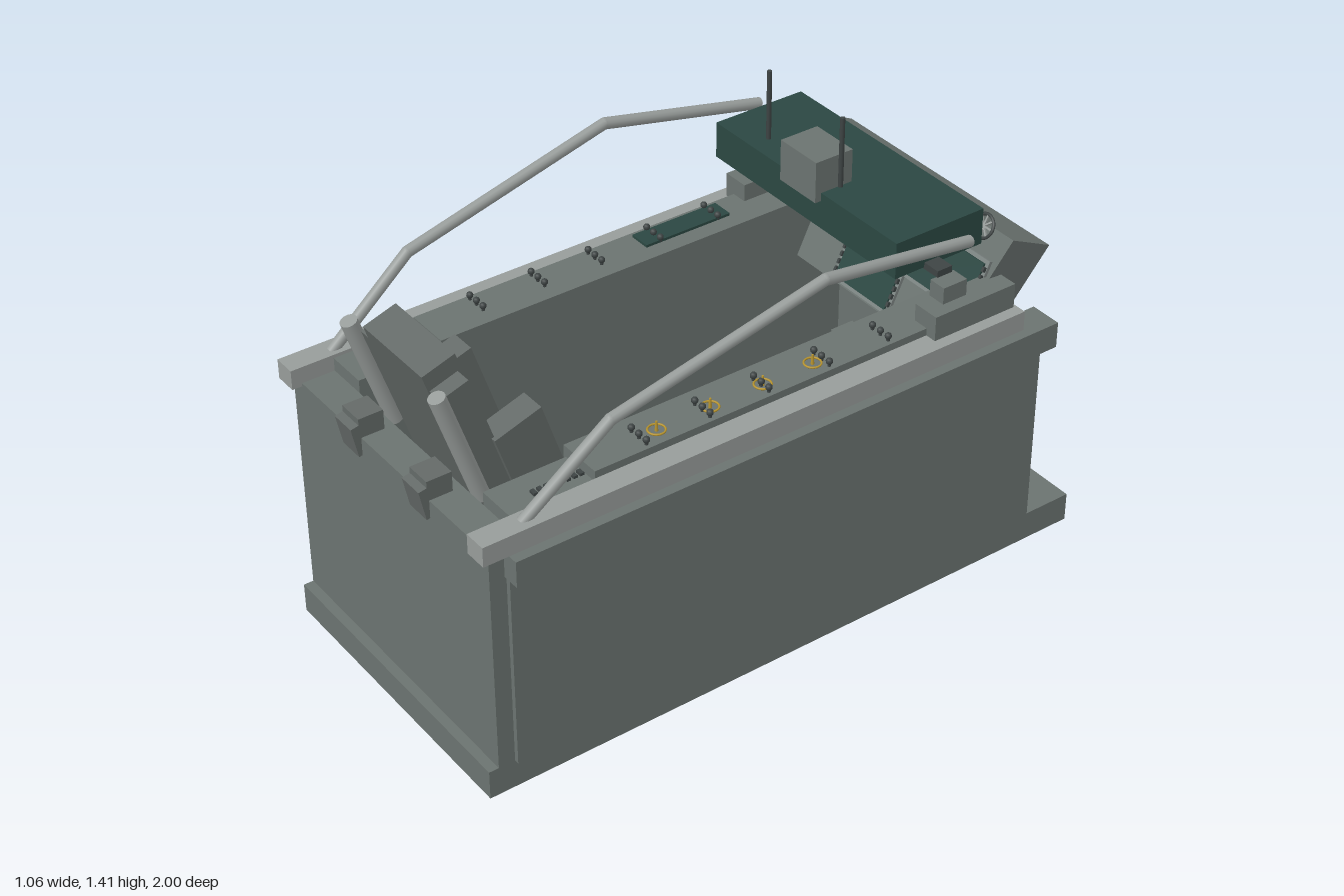
import * as THREE from 'three';

const mat = (name, color) => {
  const m = new THREE.MeshStandardMaterial({ color });
  m.name = name;
  return m;
};

export function createModel() {
  const hull = mat('hull grey', 0x6b7370);
  const rail = mat('light grey', 0x979c9a);
  const seatGrey = mat('seat grey', 0x646a68);
  const face = mat('panel grey', 0x7c8482);
  const green = mat('dark green', 0x2b4742);
  const dark = mat('charcoal', 0x3e4444);
  const yellow = mat('yellow', 0xb8952f);

  const root = new THREE.Group();
  root.name = 'cockpitTub';

  const add = (parent, name, geo, material, x = 0, y = 0, z = 0) => {
    const m = new THREE.Mesh(geo, material);
    m.name = name;
    m.position.set(x, y, z);
    parent.add(m);
    return m;
  };
  // box given by its limits on each axis
  const box = (parent, name, material, x0, x1, y0, y1, z0, z1) =>
    add(parent, name, new THREE.BoxGeometry(Math.abs(x1 - x0), y1 - y0, z1 - z0), material,
      (x0 + x1) / 2, (y0 + y1) / 2, (z0 + z1) / 2);
  // round bar between two points
  const bar = (parent, name, material, a, b, r, sides = 12) => {
    const p = new THREE.Vector3(...a), q = new THREE.Vector3(...b);
    const d = q.clone().sub(p);
    const m = add(parent, name, new THREE.CylinderGeometry(r, r, d.length(), sides), material);
    m.position.copy(p).add(q).multiplyScalar(0.5);
    m.quaternion.setFromUnitVectors(new THREE.Vector3(0, 1, 0), d.normalize());
    return m;
  };

  // Tub
  box(root, 'base', hull, -0.475, 0.475, 0, 0.09, -1, 1);
  box(root, 'seatEndWall', hull, -0.47, 0.47, 0.09, 0.79, 0.87, 0.97);
  box(root, 'footEndPanel', hull, -0.465, 0.465, 0.09, 0.49, -0.85, -0.82);

  for (const s of [-1, 1]) {
    // Side walls and rails
    box(root, 'sideWall', hull, s * 0.43, s * 0.475, 0.09, 0.78, -0.83, 0.97);
    box(root, 'sidePanel', hull, s * 0.47, s * 0.49, 0.09, 0.70, -0.83, 0.92);
    box(root, 'lowerRail', hull, s * 0.43, s * 0.53, 0.70, 0.78, -0.85, 0.925);
    box(root, 'upperRail', rail, s * 0.43, s * 0.50, 0.78, 0.84, -0.75, 1.0);

    // Side consoles
    box(root, 'console', hull, s * 0.29, s * 0.43, 0.09, 0.862, -0.75, 0.62);
    box(root, 'rearConsole', hull, s * 0.30, s * 0.43, 0.09, 0.83, 0.62, 0.87);
    box(root, 'consoleBox', hull, s * 0.38, s * 0.465, 0.84, 0.915, -0.74, -0.46);
    for (let i = 0; i < 8; i++)
      box(root, 'ventSlat', dark, s * 0.37, s * 0.39, 0.83, 0.838, 0.625 + i * 0.02, 0.637 + i * 0.02);
    for (const z of [-0.34, -0.14, 0.06, 0.25, 0.45])
      for (const x of [0.347, 0.38, 0.413]) {
        add(root, 'switchStem', new THREE.CylinderGeometry(0.005, 0.005, 0.014, 8), dark, s * x, 0.867, z);
        add(root, 'switchKnob', new THREE.SphereGeometry(0.01, 10, 8), dark, s * x, 0.877, z);
      }

    // Bent canopy tube
    const pts = [[0.46, 0.83, 0.86], [0.475, 1.04, 0.6], [0.49, 1.205, -0.055], [0.458, 1.112, -0.57]]
      .map(([x, y, z]) => [s * x, y, z]);
    for (let i = 0; i < 3; i++) {
      bar(root, 'canopyTube', rail, pts[i], pts[i + 1], 0.017);
      if (i) add(root, 'tubeJoint', new THREE.SphereGeometry(0.017, 12, 8), rail, ...pts[i]);
    }
    box(root, 'shieldSideBox', hull, s * 0.445, s * 0.50, 0.98, 1.03, -0.53, -0.45);
    box(root, 'shieldSideArm', dark, s * 0.39, s * 0.45, 1.03, 1.05, -0.52, -0.47);

    // Thin rods over the shield
    bar(root, 'rod', dark, [s * 0.157, 1.205, -0.37], [s * 0.157, 1.415, -0.37], 0.007, 8);

    // Foot pedals
    box(root, 'pedal', hull, s * 0.08, s * 0.19, 0.35, 0.45, -0.72, -0.64);

    // Brackets hooking the seat over the wall
    box(root, 'bracketTop', seatGrey, s * 0.125, s * 0.205, 0.775, 0.85, 0.90, 0.975);
    const hook = box(root, 'bracketHook', seatGrey, s * 0.125, s * 0.205, 0.735, 0.83, 0.96, 0.99);
    hook.rotation.x = 0.2;
  }

  // Console details
  box(root, 'consoleScreen', green, -0.412, -0.343, 0.862, 0.87, -0.38, -0.09);
  for (const z of [-0.11, 0.055, 0.225, 0.395]) {
    const ring = add(root, 'switchRing', new THREE.TorusGeometry(0.024, 0.003, 6, 20), yellow, 0.38, 0.866, z);
    ring.rotation.x = Math.PI / 2;
    add(root, 'lever', new THREE.CylinderGeometry(0.003, 0.005, 0.03, 8), yellow, 0.38, 0.877, z);
  }

  // Green glare shield with sight block
  box(root, 'glareShield', green, -0.395, 0.395, 1.035, 1.145, -0.67, -0.37);
  box(root, 'sightBlock', hull, -0.077, 0.077, 1.12, 1.245, -0.475, -0.35);

  // Tilted instrument panel, origin on its upper front edge
  const panel = new THREE.Group();
  panel.name = 'instrumentPanel';
  panel.position.set(0, 1.03, -0.755);
  panel.rotation.x = -0.445;
  root.add(panel);
  const outline = new THREE.Shape([[-0.35, -0.39], [0.35, -0.39], [0.43, 0], [-0.43, 0]]
    .map(p => new THREE.Vector2(...p)));
  add(panel, 'panelBody', new THREE.ExtrudeGeometry(outline, { depth: 0.15, bevelEnabled: false }), hull, 0, 0, -0.15);
  const screens = [[-0.26, -0.17, 0.24, 0.15], [0.26, -0.17, 0.24, 0.15], [0, -0.29, 0.22, 0.16]];
  for (const [x, y, w, h] of screens) {
    box(panel, 'screenFrame', face, x - w / 2 - 0.012, x + w / 2 + 0.012, y - h / 2 - 0.012, y + h / 2 + 0.012, 0, 0.01);
    box(panel, 'screen', green, x - w / 2, x + w / 2, y - h / 2, y + h / 2, 0.01, 0.016);
    for (let i = 0; i < 6; i++)
      for (const s of [-1, 1])
        box(panel, 'screenKey', dark, x + s * (w / 2 + 0.002), x + s * (w / 2 + 0.01),
          y + (i - 2.5) * 0.024 - 0.007, y + (i - 2.5) * 0.024 + 0.007, 0.01, 0.02);
  }

  // Spoked dials along the panel's top edge
  for (const x of [-0.34, -0.115, 0.11, 0.34]) {
    const dial = new THREE.Group();
    dial.name = 'dial';
    dial.position.set(x, 1.042, -0.727);
    dial.rotation.x = -0.5;
    root.add(dial);
    add(dial, 'dialRim', new THREE.TorusGeometry(0.034, 0.005, 6, 24), dark);
    for (let i = 0; i < 4; i++) {
      const spoke = add(dial, 'dialSpoke', new THREE.BoxGeometry(0.066, 0.005, 0.006), rail);
      spoke.rotation.z = i * Math.PI / 4;
    }
  }

  // Reclined seat, origin at the bolsters' upper rear edge
  const seat = new THREE.Group();
  seat.name = 'seat';
  seat.position.set(0, 0.89, 0.75);
  seat.rotation.x = 0.315;
  root.add(seat);
  box(seat, 'seatBack', seatGrey, -0.19, 0.19, -0.75, 0.215, 0.012, 0.1);
  box(seat, 'headrest', seatGrey, -0.14, 0.14, 0.14, 0.268, 0.0, 0.104);
  for (const s of [-1, 1]) {
    box(seat, 'bolster', seatGrey, s * 0.125, s * 0.205, -0.75, 0.003, -0.13, 0.02);
    bar(seat, 'seatPost', rail, [s * 0.21, -0.12, 0.112], [s * 0.21, 0.25, 0.112], 0.024, 16);
    const belt = box(seat, 'belt', rail, s * 0.07, s * 0.084, -0.42, -0.08, -0.004, 0.004);
    belt.rotation.z = -s * 0.14;
  }
  box(root, 'seatPan', seatGrey, -0.19, 0.19, 0.09, 0.32, 0.36, 0.66);
  box(root, 'buckle', rail, -0.04, 0.04, 0.32, 0.4, 0.52, 0.57);

  // Pull handles on the seat
  for (const s of [-1, 1]) {
    const handle = add(root, 'pullHandle', new THREE.TorusGeometry(0.024, 0.007, 8, 16), yellow, s * 0.07, 0.345, 0.43);
    handle.rotation.y = s * 0.9;
    box(root, 'handleBase', dark, s * 0.055, s * 0.085, 0.32, 0.34, 0.39, 0.41);
  }

  // Control stick
  bar(root, 'stick', dark, [0.11, 0.09, 0.17], [0.11, 0.42, 0.17], 0.009);
  box(root, 'stickGrip', yellow, 0.09, 0.13, 0.40, 0.43, 0.135, 0.165);
  for (const x of [0.08, 0.1, 0.12, 0.14])
    add(root, 'stickButton', new THREE.SphereGeometry(0.006, 8, 6), dark, x, 0.42, 0.187);

  return root;
}
